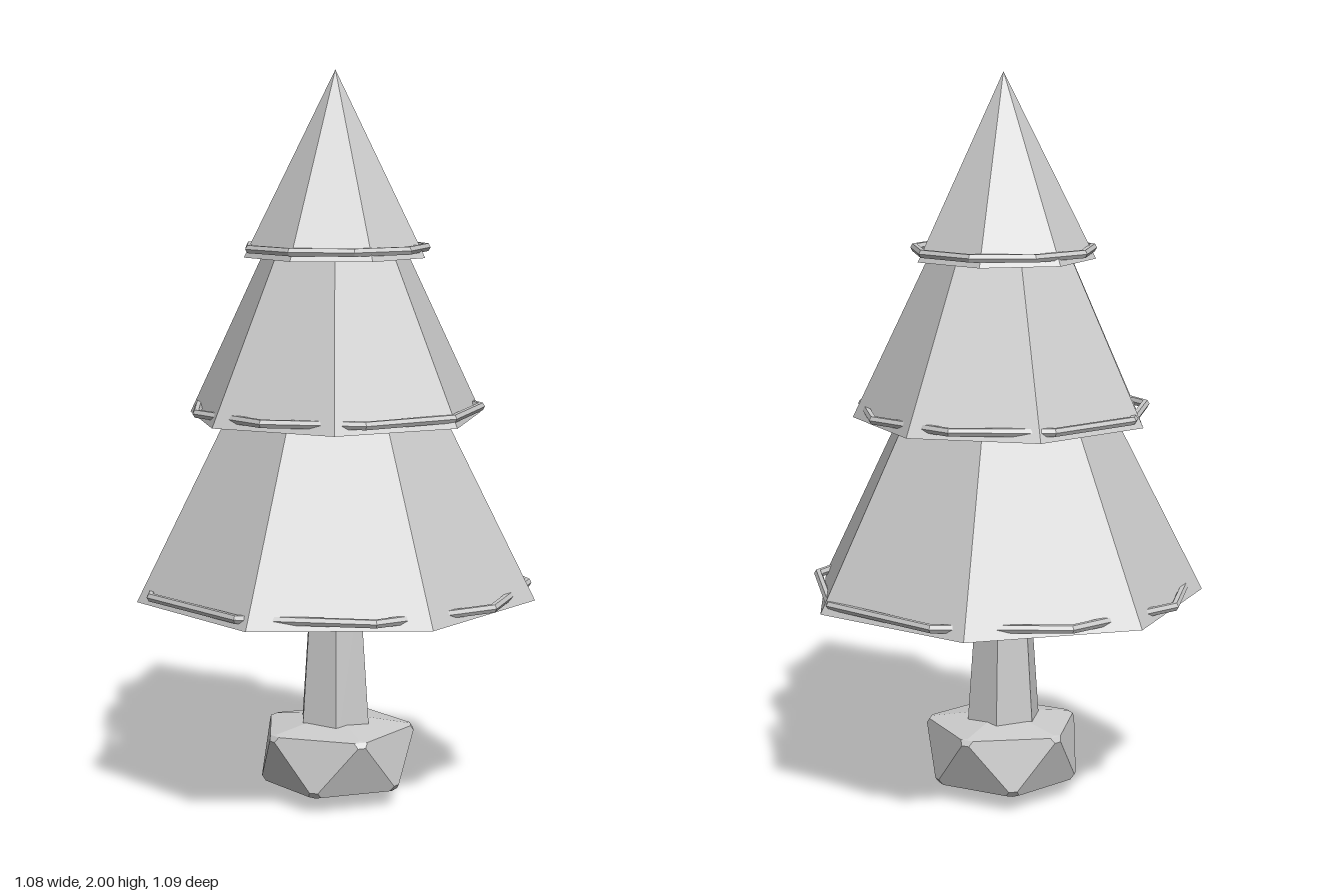
import * as THREE from 'three';
import { ConvexGeometry } from 'three/addons/geometries/ConvexGeometry.js';

const material = new THREE.MeshStandardMaterial({ color: 0xcccccc, flatShading: true });

function add(parent, name, geometry, y = 0) {
  const mesh = new THREE.Mesh(geometry, material);
  mesh.name = name;
  mesh.position.y = y;
  parent.add(mesh);
  return mesh;
}

// Stone: a squashed icosahedron with every corner cut off a little
function stoneGeometry() {
  const corners = [new THREE.Vector3(0, -0.005, 0), new THREE.Vector3(0, 0.235, 0)];
  for (let i = 0; i < 5; i++) {
    const a = (i * Math.PI * 2) / 5;
    const r = 0.222;
    corners.push(new THREE.Vector3(Math.cos(a) * r, 0.2, Math.sin(a) * r));
    corners.push(new THREE.Vector3(-Math.cos(a) * r * 0.93, 0.045, -Math.sin(a) * r * 0.93));
  }
  const points = [];
  for (const p of corners) {
    for (const q of corners) {
      const d = p.distanceTo(q);
      if (d > 0.01 && d < 0.29) points.push(p.clone().lerp(q, 0.09));
    }
  }
  return new ConvexGeometry(points);
}

export function createModel() {
  const group = new THREE.Group();
  const tree = new THREE.Group();
  tree.name = 'tree';
  tree.position.z = 0.01;
  group.add(tree);

  add(tree, 'baseStone', stoneGeometry());
  // Six-sided tapering trunk
  add(tree, 'trunk', new THREE.CylinderGeometry(0.077, 0.11, 0.46, 6), 0.37);

  // Seven-sided foliage cones, each turned differently, with a nine-sided garland
  const tiers = [
    { name: 'lower', y: 0.575, top: 1.67, r: 0.553, turn: Math.PI, ring: 0.53, ringY: 0.6 },
    { name: 'middle', y: 1.065, top: 1.93, r: 0.412, turn: -0.028, ring: 0.397, ringY: 1.09 },
    { name: 'upper', y: 1.5, top: 2, r: 0.25, turn: 0.38, ring: 0.246, ringY: 1.525 },
  ];
  for (const t of tiers) {
    const h = t.top - t.y;
    add(tree, t.name + 'Foliage',
      new THREE.ConeGeometry(t.r, h, 7, 1, false, t.turn), t.y + h / 2);
    const ring = new THREE.TorusGeometry(t.ring, 0.012, 6, 9).rotateX(Math.PI / 2);
    add(tree, t.name + 'Garland', ring, t.ringY);
  }
  return group;
}
